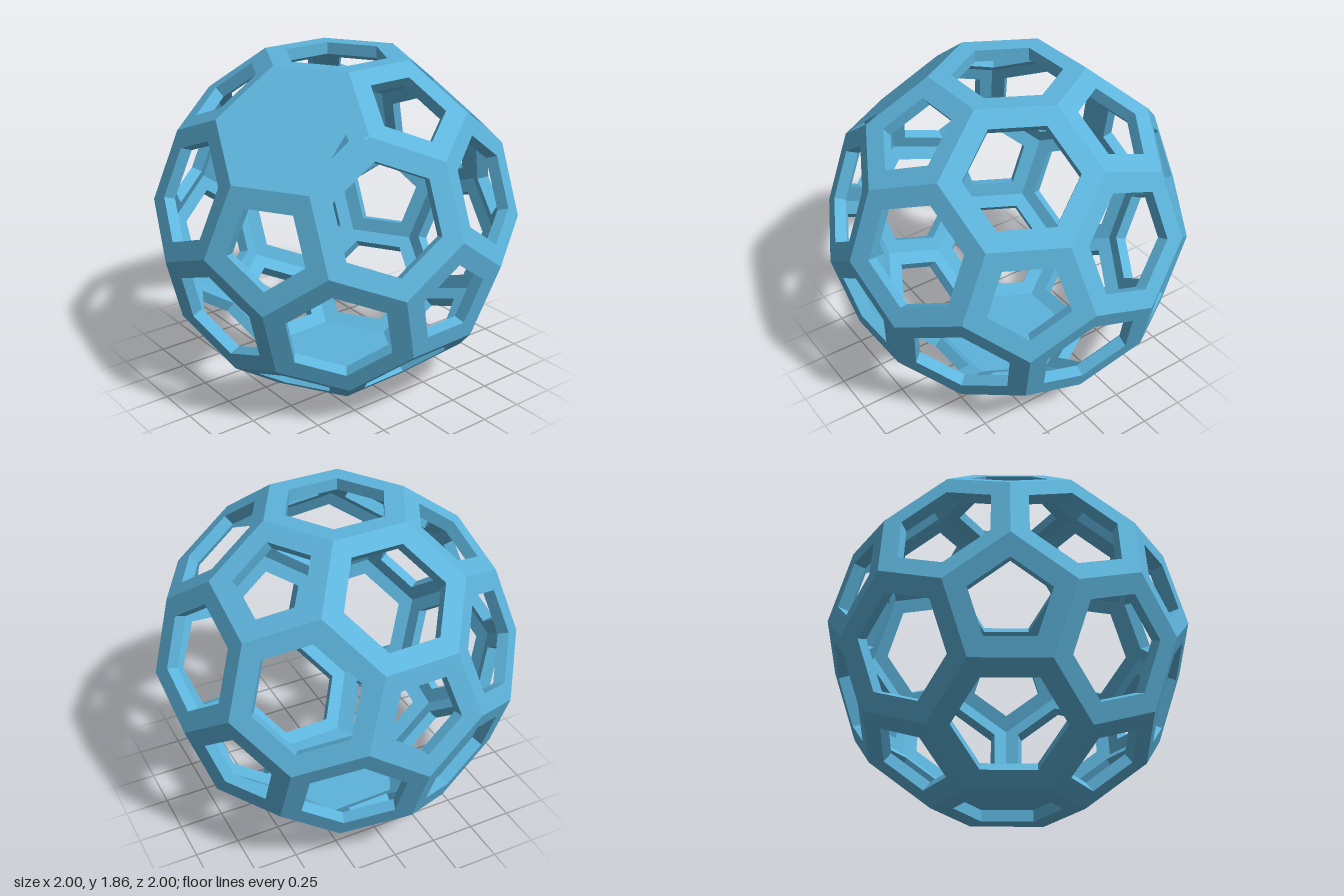
import * as THREE from 'three';

const EDGE = 0.41;        // side of every polygon
const MARGIN = 0.104;     // width of the rim round each opening
const SHELL = 0.93;       // inner shell relative to the outer one
const MID_HEIGHT = 0.93;  // lifts the ball onto the ground

const blue = new THREE.MeshStandardMaterial({ color: 0x5db4dc, side: THREE.DoubleSide });

// Flat-shaded mesh from a list of triangles
function facetMesh(name, triangles) {
  const geometry = new THREE.BufferGeometry().setFromPoints(triangles.flat());
  geometry.computeVertexNormals();
  const mesh = new THREE.Mesh(geometry, blue);
  mesh.name = name;
  return mesh;
}

const quad = (a, b, c, d) => [[a, b, c], [a, c, d]];
const fan = (pts) => pts.slice(2).map((p, i) => [pts[0], pts[i + 1], p]);
const centreOf = (pts) =>
  pts.reduce((sum, p) => sum.add(p), new THREE.Vector3()).divideScalar(pts.length);

// Icosahedron with one triangle facing straight up and one of its corners near +x
function orientedTriangles() {
  const pos = new THREE.IcosahedronGeometry(EDGE * 3 * 0.95106, 0).attributes.position;
  const points = [];
  for (let i = 0; i < pos.count; i++) points.push(new THREE.Vector3().fromBufferAttribute(pos, i));
  const up = new THREE.Vector3(0, 1, 0);
  const level = new THREE.Quaternion().setFromUnitVectors(
    centreOf(points.slice(0, 3)).normalize(), up);
  points.forEach((p) => p.applyQuaternion(level));
  const spin = Math.atan2(points[0].z, points[0].x) + 0.03;
  points.forEach((p) => p.applyAxisAngle(up, spin));
  const triangles = [];
  for (let i = 0; i < points.length; i += 3) triangles.push(points.slice(i, i + 3));
  return triangles;
}

// Cut the corners: each triangle becomes a hexagon, each corner a pentagon
function truncatedFaces() {
  const triangles = orientedTriangles();
  const hexagons = triangles.map((t) => t.flatMap((a, i) => {
    const b = t[(i + 1) % 3];
    return [a.clone().lerp(b, 1 / 3), a.clone().lerp(b, 2 / 3)];
  }));
  const corners = [];
  triangles.flat().forEach((p) => {
    if (!corners.some((c) => c.distanceTo(p) < 0.01)) corners.push(p);
  });
  const pentagons = corners.map((c) => {
    const axis = c.clone().normalize();
    const ring = corners
      .filter((o) => o !== c && o.distanceTo(c) < EDGE * 3.1)
      .map((o) => c.clone().lerp(o, 1 / 3));
    const u = ring[0].clone().projectOnPlane(axis).normalize();
    const v = axis.clone().cross(u);
    const angle = (p) => Math.atan2(p.dot(v), p.dot(u));
    return ring.sort((a, b) => angle(a) - angle(b));
  });
  return { hexagons, pentagons };
}

// One framed cell: outer rim, straight opening walls and inner rim
function cell(name, outer, { cover = null, notch = -1 } = {}) {
  const n = outer.length;
  const centre = centreOf(outer);
  const normal = centre.clone().normalize();
  const apothem = EDGE / (2 * Math.tan(Math.PI / n));
  const depth = centre.length() * (1 - SHELL);
  const hole = outer.map((p) => centre.clone().lerp(p, 1 - MARGIN / apothem));
  const innerHole = hole.map((p) => p.clone().addScaledVector(normal, -depth));
  const inner = outer.map((p) => p.clone().multiplyScalar(SHELL));
  const triangles = [];
  for (let i = 0; i < n; i++) {
    const j = (i + 1) % n;
    // a notched cell leaves one sliver of its rim open
    if (i !== notch) triangles.push([outer[i], outer[j], hole[j]]);
    triangles.push([outer[i], hole[j], hole[i]]);
    triangles.push(...quad(hole[i], hole[j], innerHole[j], innerHole[i]));
    triangles.push(...quad(innerHole[i], innerHole[j], inner[j], inner[i]));
  }
  const group = new THREE.Group();
  group.name = name;
  group.add(facetMesh(name + 'Frame', triangles));
  if (cover === 'outside') group.add(facetMesh('outerCover', fan(hole)));
  if (cover === 'inside') group.add(facetMesh('innerCover', fan(innerHole)));
  return group;
}

export function createModel() {
  const model = new THREE.Group();
  model.name = 'openLatticeBall';
  const ball = new THREE.Group();
  ball.name = 'ball';
  ball.position.y = MID_HEIGHT;
  model.add(ball);

  const { hexagons, pentagons } = truncatedFaces();
  const coveredSide = new THREE.Vector3(0.31, 0.69, 0.54);
  const notchCorner = new THREE.Vector3(0.66, 0.69, 0.31);

  for (const points of hexagons) {
    const centre = centreOf(points);
    const options = {};
    if (centre.distanceTo(coveredSide) < 0.2) {
      // covered cell on the upper front, open along one sliver
      options.cover = 'outside';
      const distances = points.map((p) => p.distanceTo(notchCorner));
      const nearest = distances.indexOf(Math.min(...distances));
      options.notch = (nearest + points.length - 1) % points.length;
    } else if (centre.y < -0.9) {
      options.cover = 'inside'; // floor of the ball
    }
    ball.add(cell('hexagonCell', points, options));
  }
  for (const points of pentagons) ball.add(cell('pentagonCell', points));
  return model;
}
